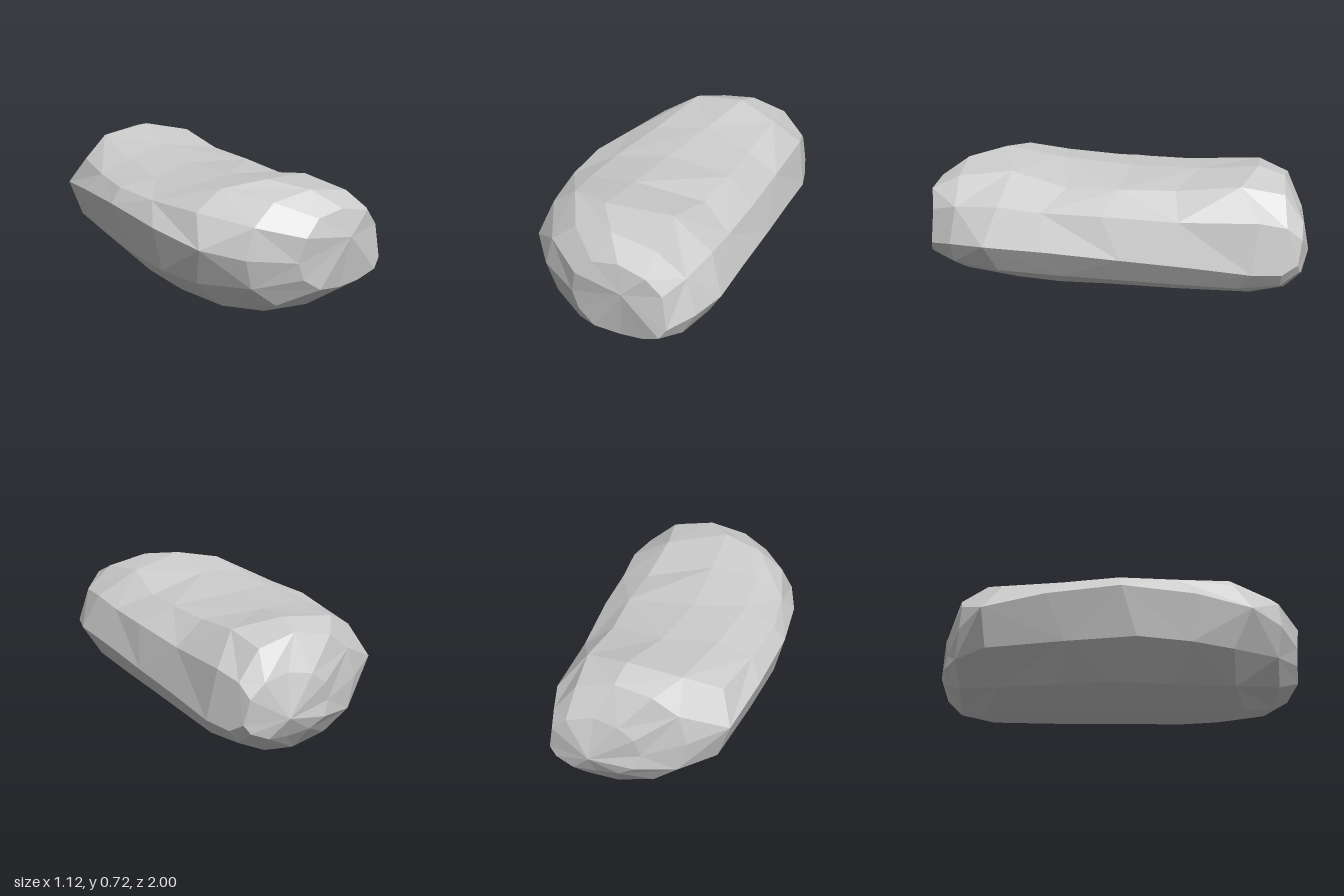
import * as THREE from 'three';

// Cross-sections from front to back:
// z, left x, right x, crown x, bottom y, top y, height of left bulge, height of right bulge,
// roundness of the upper right edge (1 is round, lower is squarer)
const RINGS = [
  [0.965, -0.10, 0.41, 0.16, 0.20, 0.61, 0.38, 0.31, 0.75],
  [0.83, -0.32, 0.50, 0.06, 0.09, 0.69, 0.40, 0.34, 0.92],
  [0.60, -0.47, 0.555, -0.07, 0.02, 0.72, 0.43, 0.35, 0.95],
  [0.32, -0.54, 0.54, -0.07, 0.00, 0.67, 0.47, 0.33, 0.85],
  [0.00, -0.56, 0.525, -0.06, 0.005, 0.64, 0.50, 0.30, 0.68],
  [-0.35, -0.51, 0.505, 0.00, 0.012, 0.65, 0.47, 0.27, 0.78],
  [-0.70, -0.44, 0.49, 0.08, 0.035, 0.70, 0.42, 0.24, 0.82],
  [-0.87, -0.26, 0.45, 0.10, 0.08, 0.66, 0.38, 0.23, 0.85],
  [-0.955, -0.05, 0.42, 0.18, 0.18, 0.50, 0.32, 0.28, 0.8],
];
const FRONT_TIP = new THREE.Vector3(0.19, 0.47, 1);
const BACK_TIP = new THREE.Vector3(0.2, 0.29, -1);
const SIDES = 12;

function ringPoint(ring, i, j) {
  const [z, xl, xr, xc, yb, yt, yl, yr, edge] = ring;
  const a = (j / SIDES) * Math.PI * 2;
  const c = Math.cos(a), s = Math.sin(a);
  // Roundness of each quarter: upper right, upper left, lower left, lower right
  const power = [edge, 0.88, 0.95, 1.08][Math.floor(j / (SIDES / 4))];
  const u = Math.abs(c) < 1e-6 ? 0 : Math.abs(c) ** power;
  const v = Math.abs(s) < 1e-6 ? 0 : Math.abs(s) ** power;
  const right = c >= 0;
  const mid = right ? yr : yl;
  const p = new THREE.Vector3(
    xc + ((right ? xr : xl) - xc) * u,
    mid + ((s >= 0 ? yt : yb) - mid) * v,
    z
  );
  // Uneven chipping along the length, kept small at the ends
  const wobble = Math.sin(i * 7.3 + j * 4.1);
  p.z += wobble * (Math.abs(z) > 0.8 ? 0.012 : 0.06);
  // Shallow notch in the upper right edge
  if (i === 3 && j === 2) p.add(new THREE.Vector3(0.02, -0.03, 0));
  return p;
}

function createRockGeometry() {
  const rings = RINGS.map((r, i) =>
    Array.from({ length: SIDES }, (_, j) => ringPoint(r, i, j)));
  const points = [];
  const tri = (...corners) => points.push(...corners);
  const last = rings.length - 1;

  for (let j = 0; j < SIDES; j++) {
    const k = (j + 1) % SIDES;
    // End facets
    tri(FRONT_TIP, rings[0][j], rings[0][k]);
    tri(BACK_TIP, rings[last][k], rings[last][j]);
    // Side facets, with diagonals that alternate
    for (let i = 0; i < last; i++) {
      const a = rings[i][j], b = rings[i][k];
      const c = rings[i + 1][j], d = rings[i + 1][k];
      if ((i + j) % 2) {
        tri(a, c, b);
        tri(b, c, d);
      } else {
        tri(a, c, d);
        tri(a, d, b);
      }
    }
  }
  const geometry = new THREE.BufferGeometry().setFromPoints(points);
  geometry.computeVertexNormals();
  return geometry;
}

export function createModel() {
  const group = new THREE.Group();
  group.name = 'rock';
  const stone = new THREE.Mesh(
    createRockGeometry(),
    new THREE.MeshStandardMaterial({ color: 0xcccccc, flatShading: true })
  );
  stone.name = 'stone';
  group.add(stone);
  return group;
}
